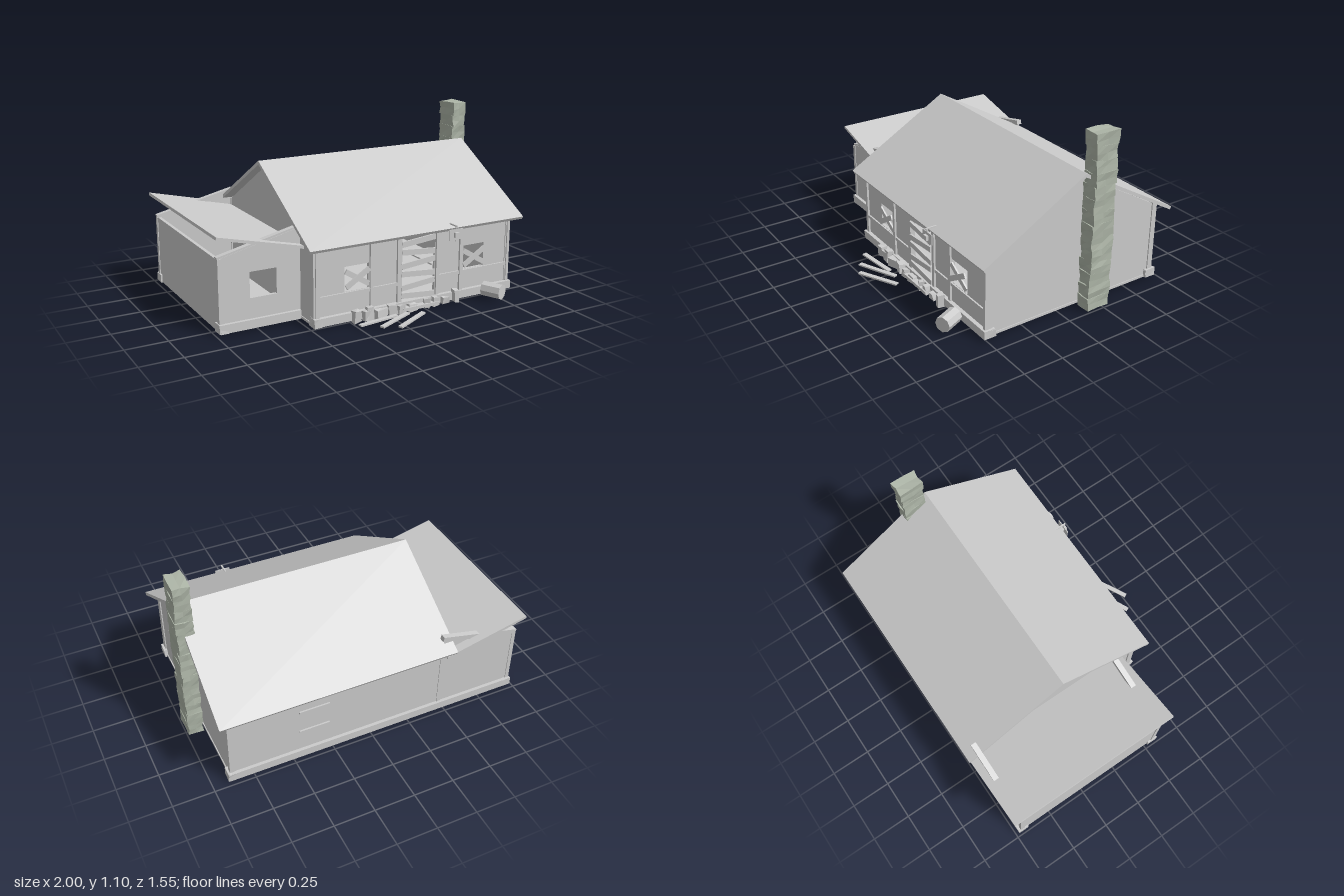
import * as THREE from 'three';

export function createModel() {
  const root = new THREE.Group();
  const grey = new THREE.MeshStandardMaterial({ color: 0xcccccc, flatShading: true });
  const stoneMat = new THREE.MeshStandardMaterial({ color: 0xaeb6a8, flatShading: true });

  let seed = 7;
  const rnd = () => ((seed = (seed * 16807) % 2147483647) / 2147483647) * 2 - 1;

  const add = (name, geo, mat = grey, parent = root) => {
    const m = new THREE.Mesh(geo, mat);
    m.name = name;
    parent.add(m);
    return m;
  };
  // box given by its limits on each axis
  const box = (name, x0, x1, y0, y1, z0, z1) => {
    const m = add(name, new THREE.BoxGeometry(x1 - x0, y1 - y0, z1 - z0));
    m.position.set((x0 + x1) / 2, (y0 + y1) / 2, (z0 + z1) / 2);
    return m;
  };
  const shapeOf = (pts) => new THREE.Shape(pts.map((p) => new THREE.Vector2(p[0], p[1])));
  const extrude = (shape, depth) => new THREE.ExtrudeGeometry(shape, { depth, bevelEnabled: false });
  // profile of [z, y] points drawn out from x0 to x1
  const alongX = (name, pts, x0, x1) => {
    const g = extrude(shapeOf(pts.map(([z, y]) => [-z, y])), x1 - x0);
    g.rotateY(Math.PI / 2);
    g.translate(x0, 0, 0);
    return add(name, g);
  };
  // wall of [x, y] points with rectangular holes [x0, x1, y0, y1]
  const wall = (name, pts, holes, z0, z1) => {
    const s = shapeOf(pts);
    for (const [a, b, c, d] of holes)
      s.holes.push(new THREE.Path([[a, c], [a, d], [b, d], [b, c]].map((p) => new THREE.Vector2(...p))));
    const g = extrude(s, z1 - z0);
    g.translate(0, 0, z0);
    return add(name, g);
  };
  // box with its corners knocked about; shared corners move together
  const roughBox = (w, h, d, amount, n = 2) => {
    const g = new THREE.BoxGeometry(w, h, d, n, n, n);
    const p = g.attributes.position, moved = new Map();
    for (let i = 0; i < p.count; i++) {
      const key = [p.getX(i), p.getY(i), p.getZ(i)].map((v) => Math.round(v * 1e4)).join();
      if (!moved.has(key)) moved.set(key, [rnd() * amount, rnd() * amount, rnd() * amount]);
      const o = moved.get(key);
      p.setXYZ(i, p.getX(i) + o[0], p.getY(i) + o[1], p.getZ(i) + o[2]);
    }
    g.computeVertexNormals();
    return g;
  };

  // Main house shell
  box('mainFloor', -0.48, 0.89, 0.015, 0.03, -0.71, 0.49);
  const gable = [[0.49, 0.02], [0.49, 0.488], [-0.11, 0.838], [-0.71, 0.488], [-0.71, 0.02]];
  alongX('rightGable', gable, 0.865, 0.885);
  alongX('leftGable', gable, -0.475, -0.455);
  const openings = [[-0.28, -0.12, 0.19, 0.34], [0.54, 0.7, 0.19, 0.34], [0.1, 0.34, 0.03, 0.47]];
  wall('frontWall', [[-0.475, 0.02], [0.885, 0.02], [0.885, 0.49], [-0.475, 0.49]], openings, 0.47, 0.49);
  box('backWall', -0.475, 0.885, 0.02, 0.49, -0.71, -0.69);

  // Main roof, a folded slab
  alongX('mainRoof', [[0.555, 0.485], [-0.11, 0.868], [-0.775, 0.485], [-0.765, 0.468],
    [-0.11, 0.845], [0.545, 0.468]], -0.53, 0.95);

  // Timber frame on the front wall
  for (const [a, b] of [[-0.47, -0.445], [-0.115, -0.094], [0.07, 0.1], [0.343, 0.365], [0.515, 0.54], [0.873, 0.892]])
    box('framePost', a, b, 0.06, 0.49, 0.48, 0.503);
  for (const [a, b] of [[-0.445, -0.115], [-0.094, 0.07], [0.365, 0.515], [0.54, 0.873]])
    box('frameRail', a, b, 0.168, 0.188, 0.48, 0.5);
  for (const [z0, z1] of [[0.455, 0.495], [-0.714, -0.68]]) {
    box('cornerPost', 0.865, 0.892, 0.06, 0.51, z0, z1);
    box('cornerPost', -0.482, -0.455, 0.06, 0.51, z0, z1);
  }

  // Sill beams
  box('frontSill', -0.48, 0.905, 0.015, 0.065, 0.445, 0.515);
  box('backSill', -0.985, 0.905, 0.015, 0.065, -0.73, -0.66);
  box('sideRoomSill', -0.985, -0.48, 0.015, 0.068, 0.27, 0.34);

  // Crossed boards over the windows
  for (const x of [-0.2, 0.62])
    for (const s of [-1, 1]) {
      const b = add('windowBoard', new THREE.BoxGeometry(0.18, 0.032, 0.01));
      b.position.set(x, 0.265, 0.5 + s * 0.004);
      b.rotation.z = s * 0.55;
    }
  // Tilted boards over the doorway
  for (let i = 0; i < 6; i++) {
    const b = add('doorBoard', new THREE.BoxGeometry(0.235, 0.034, 0.012));
    b.position.set(0.215, 0.09 + i * 0.067, 0.5);
    b.rotation.z = (i % 2 ? 1 : -1) * 0.09;
  }
  box('doorStep', 0.08, 0.34, 0.02, 0.04, 0.5, 0.553);
  // Back window trim
  for (const y of [0.2, 0.35]) box('backWindowTrim', 0.27, 0.46, y, y + 0.012, -0.72, -0.7);

  // Side room
  box('sideRoomFloor', -0.975, -0.48, 0.015, 0.03, -0.71, 0.32);
  box('sideRoomOuterWall', -0.975, -0.955, 0.02, 0.44, -0.71, 0.32);
  const slopeWall = [[-0.975, 0.02], [-0.475, 0.02], [-0.475, 0.56], [-0.975, 0.445]];
  wall('sideRoomFrontWall', slopeWall, [[-0.79, -0.625, 0.19, 0.345]], 0.3, 0.32);
  wall('sideRoomBackWall', slopeWall, [], -0.71, -0.69);
  for (const z of [0.31, -0.7]) box('sideRoomPost', -0.98, -0.955, 0.06, 0.445, z - 0.014, z + 0.014);
  for (const z of [0.3, -0.7]) {
    const r = add('rafter', new THREE.BoxGeometry(0.53, 0.03, 0.034));
    r.position.set(-0.72, 0.5, z);
    r.rotation.z = 0.226;
  }
  // Roof that has slipped and tips the wrong way
  const slipped = add('slippedRoof', new THREE.BoxGeometry(0.545, 0.017, 1.135));
  slipped.position.set(-0.735, 0.516, -0.198);
  slipped.rotation.z = -0.237;

  // Chimney of rough stone courses, with hearth
  const chimney = new THREE.Group();
  chimney.name = 'chimney';
  root.add(chimney);
  const courses = 14, step = 1.085 / courses;
  for (let i = 0; i < courses; i++) {
    const c = add('chimneyCourse', roughBox(0.096 + rnd() * 0.005, step + 0.006, 0.15 + rnd() * 0.006, 0.005), stoneMat, chimney);
    c.position.set(0.945 + rnd() * 0.002, 0.012 + step * (i + 0.5), -0.211 + rnd() * 0.002);
  }
  box('hearth', 0.7, 0.88, 0.01, 0.04, -0.36, -0.06);

  // Foundation stones at the corners
  for (const [x, z] of [[0.88, 0.475], [0.88, -0.695], [-0.46, 0.48], [-0.955, 0.305], [-0.955, -0.695]]) {
    const s = add('cornerStone', roughBox(0.05, 0.05, 0.07, 0.004, 1));
    s.position.set(x, 0.038, z);
  }
  // Loose stones along the front: x, width, height
  for (const [x, w, h] of [[-0.22, 0.04, 0.07], [-0.15, 0.055, 0.06], [-0.135, 0.04, 0.08], [-0.06, 0.09, 0.05],
    [0.02, 0.05, 0.06], [0.08, 0.04, 0.05], [0.16, 0.06, 0.045], [0.26, 0.035, 0.06], [0.32, 0.03, 0.06],
    [0.395, 0.04, 0.045], [0.47, 0.035, 0.08]]) {
    const s = add('looseStone', roughBox(w, h, 0.04, 0.006, 1));
    s.position.set(x, h / 2 + 0.008, 0.525);
    s.rotation.y = rnd() * 0.3;
  }

  // Fallen planks: end points on the ground
  for (const [x0, z0, x1, z1] of [[-0.26, 0.635, 0.005, 0.602], [-0.165, 0.715, 0.08, 0.602], [-0.075, 0.765, 0.165, 0.64]]) {
    const p = add('fallenPlank', new THREE.BoxGeometry(Math.hypot(x1 - x0, z1 - z0), 0.01, 0.028));
    p.position.set((x0 + x1) / 2, 0.032, (z0 + z1) / 2);
    p.rotation.y = -Math.atan2(z1 - z0, x1 - x0);
  }

  // Barrel lying on its side
  const barrelGeo = new THREE.CylinderGeometry(0.048, 0.048, 0.125, 8);
  barrelGeo.rotateX(Math.PI / 2);
  const barrel = add('barrel', barrelGeo);
  barrel.position.set(0.693, 0.066, 0.61);
  barrel.rotation.y = 0.42;

  // Lantern on its bracket under the eave
  box('lanternBracket', 0.42, 0.43, 0.501, 0.508, 0.5, 0.59);
  box('lanternRod', 0.422, 0.428, 0.41, 0.505, 0.574, 0.58);
  box('lanternPlate', 0.378, 0.474, 0.42, 0.484, 0.574, 0.58);
  box('lanternBody', 0.409, 0.441, 0.436, 0.466, 0.56, 0.595);

  return root;
}
